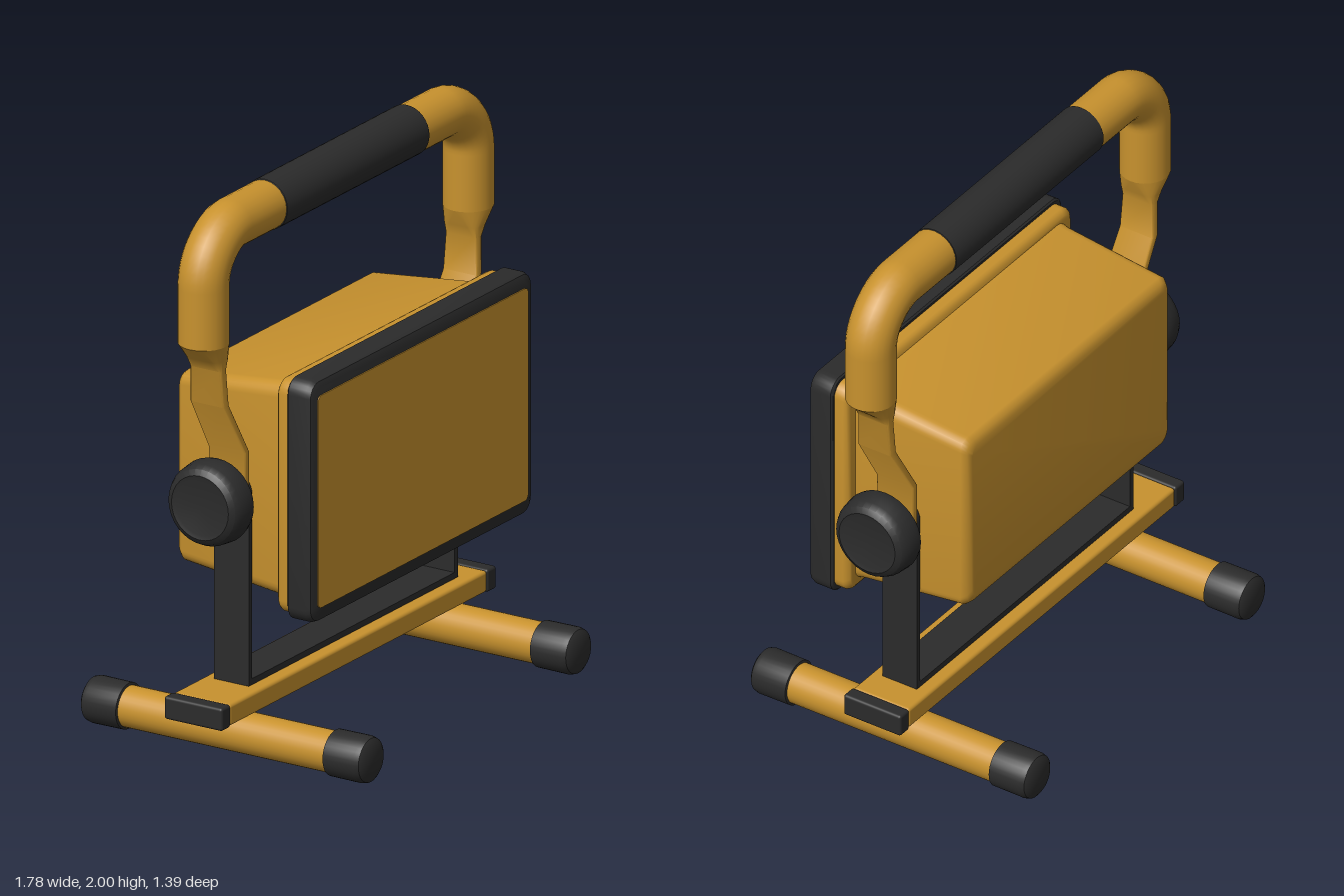
import * as THREE from 'three';
import { toCreasedNormals } from 'three/addons/utils/BufferGeometryUtils.js';
import { RoundedBoxGeometry } from 'three/addons/geometries/RoundedBoxGeometry.js';

const yellow = new THREE.MeshStandardMaterial({ color: 0xc8922e });
yellow.name = 'yellow';
const black = new THREE.MeshStandardMaterial({ color: 0x2b2b2b });
black.name = 'black';

// Rounded rectangle outline, counter-clockwise
function roundedRect(hw, hh, r, n = 6) {
  const pts = [];
  for (let c = 0; c < 4; c++) {
    const sx = c === 0 || c === 3 ? 1 : -1;
    const sy = c < 2 ? 1 : -1;
    for (let i = 0; i <= n; i++) {
      const a = (c + i / n) * Math.PI / 2;
      pts.push([sx * (hw - r) + r * Math.cos(a), sy * (hh - r) + r * Math.sin(a)]);
    }
  }
  return pts;
}

// Skin rounded rectangles [z, halfWidth, halfHeight, cornerRadius, centreX] along +z, capped at both ends
function loft(sections) {
  const pos = [], index = [];
  let n = 0;
  for (const [z, hw, hh, r, cx = 0] of sections) {
    const ring = roundedRect(hw, hh, r);
    n = ring.length;
    for (const [x, y] of ring) pos.push(x + cx, y, z);
  }
  const last = (sections.length - 1) * n;
  for (let k = 0; k < last; k += n) {
    for (let i = 0; i < n; i++) {
      const j = (i + 1) % n;
      index.push(k + i, k + j, k + n + j, k + i, k + n + j, k + n + i);
    }
  }
  for (let i = 1; i < n - 1; i++) {
    index.push(0, i + 1, i);
    index.push(last, last + i, last + i + 1);
  }
  const g = new THREE.BufferGeometry();
  g.setAttribute('position', new THREE.Float32BufferAttribute(pos, 3));
  g.setIndex(index);
  return toCreasedNormals(g, 0.7);
}

function lathe(profile, segments = 32) {
  const g = new THREE.LatheGeometry(profile.map(([r, y]) => new THREE.Vector2(r, y)), segments);
  return toCreasedNormals(g, 0.6);
}

export function createModel() {
  const model = new THREE.Group();
  model.name = 'workLight';
  const add = (name, geometry, material, x = 0, y = 0, z = 0) => {
    const mesh = new THREE.Mesh(geometry, material);
    mesh.name = name;
    mesh.position.set(x, y, z);
    model.add(mesh);
    return mesh;
  };

  // Lamp head
  const headY = 0.97;
  add('housing', loft([
    [-0.25, 0.575, 0.307, 0.03], [-0.243, 0.597, 0.329, 0.04], [-0.225, 0.61, 0.343, 0.045],
    [0.17, 0.622, 0.386, 0.05], [0.21, 0.63, 0.39, 0.05],
  ]), yellow, 0, headY);
  add('flange', loft([
    [0.195, 0.655, 0.403, 0.04], [0.205, 0.668, 0.417, 0.05], [0.215, 0.672, 0.421, 0.05], [0.255, 0.672, 0.421, 0.05],
  ]), yellow, 0, headY);
  add('bezel', loft([
    [0.25, 0.68, 0.43, 0.05], [0.256, 0.687, 0.436, 0.055], [0.325, 0.687, 0.436, 0.055],
    [0.342, 0.68, 0.429, 0.05], [0.349, 0.665, 0.412, 0.04],
  ]), black, 0, headY);
  add('frontPanel', loft([
    [0.346, 0.648, 0.382, 0.02], [0.353, 0.648, 0.382, 0.02],
  ]), yellow, 0, headY);

  // U-shaped bracket
  add('bracketBase', new THREE.BoxGeometry(1.29, 0.022, 0.14), black, 0, 0.264);
  for (const s of [-1, 1]) {
    const arm = new THREE.Shape();
    arm.moveTo(-0.07, 0.255);
    arm.lineTo(0.07, 0.255);
    arm.lineTo(0.07, 0.94);
    arm.absarc(0, 0.94, 0.07, 0, Math.PI, false);
    const g = new THREE.ExtrudeGeometry(arm, { depth: 0.02, bevelEnabled: false, curveSegments: 16 });
    g.translate(0, 0, -0.01).rotateY(Math.PI / 2);
    add('bracketArm', g, black, s * 0.635);
  }

  // Side knobs
  const knob = lathe([
    [0, 0.64], [0.06, 0.64], [0.06, 0.725], [0.13, 0.722], [0.147, 0.732], [0.152, 0.75],
    [0.146, 0.805], [0.135, 0.828], [0.115, 0.84], [0.1, 0.836], [0, 0.836],
  ]);
  for (const s of [-1, 1]) add('knob', knob, black, 0, 0.94).rotation.z = -s * Math.PI / 2;

  // Carrying handle: bent tube with flattened straps down to the knobs
  const hx = 0.817, top = 1.91, bend = 0.17, low = 1.53, r = 0.088;
  const v = (x, y) => new THREE.Vector3(x, y, 0);
  const path = new THREE.CurvePath();
  path.add(new THREE.LineCurve3(v(-hx, low), v(-hx, top - bend)));
  path.add(new THREE.CubicBezierCurve3(v(-hx, top - bend), v(-hx, top - bend * 0.45), v(-hx + bend * 0.55, top), v(-hx + bend, top)));
  path.add(new THREE.LineCurve3(v(-hx + bend, top), v(hx - bend, top)));
  path.add(new THREE.CubicBezierCurve3(v(hx - bend, top), v(hx - bend * 0.55, top), v(hx, top - bend * 0.45), v(hx, top - bend)));
  path.add(new THREE.LineCurve3(v(hx, top - bend), v(hx, low)));
  add('handleTube', new THREE.TubeGeometry(path, 100, r, 24), yellow);
  for (const s of [-1, 1]) {
    const strap = loft([
      [0.86, 0.013, 0.05, 0.006, s * 0.659], [0.89, 0.013, 0.075, 0.006, s * 0.659],
      [1.1, 0.014, 0.075, 0.006, s * 0.661], [1.3, 0.017, 0.068, 0.006, s * 0.78],
      [1.43, 0.018, 0.064, 0.01, s * 0.788], [1.47, 0.042, 0.072, 0.035, s * 0.795],
      [1.53, r, r, r, s * hx],
    ]);
    add('handleStrap', strap.rotateX(-Math.PI / 2), yellow);
  }
  const grip = lathe([[0.085, -0.44], [0.091, -0.438], [0.091, 0.438], [0.085, 0.44]]);
  add('grip', grip.rotateZ(Math.PI / 2), black, 0, top);

  // Crossbar with end caps
  add('crossbar', new RoundedBoxGeometry(1.59, 0.078, 0.23, 3, 0.012), yellow, -0.036, 0.212);
  for (const s of [-1, 1]) {
    add('crossbarCap', new RoundedBoxGeometry(0.056, 0.082, 0.235, 3, 0.01), black, -0.036 + s * 0.82, 0.212);
  }

  // Tubular feet with rubber caps
  const cap = lathe([
    [0.073, -0.08], [0.082, -0.078], [0.083, 0.045], [0.078, 0.064], [0.065, 0.073], [0, 0.076],
  ]);
  for (const s of [-1, 1]) {
    const tube = new THREE.CylinderGeometry(0.073, 0.073, 1.06, 32, 1, true).rotateX(Math.PI / 2);
    add('footTube', tube, yellow, s * 0.64, 0.084);
    for (const e of [-1, 1]) {
      add('footCap', cap, black, s * 0.64, 0.084, e * 0.496).rotation.x = e * Math.PI / 2;
    }
  }

  // The whole lamp stands turned slightly
  const root = new THREE.Group();
  root.name = 'turnedWorkLight';
  model.rotation.y = 0.192;
  root.add(model);
  return root;
}
